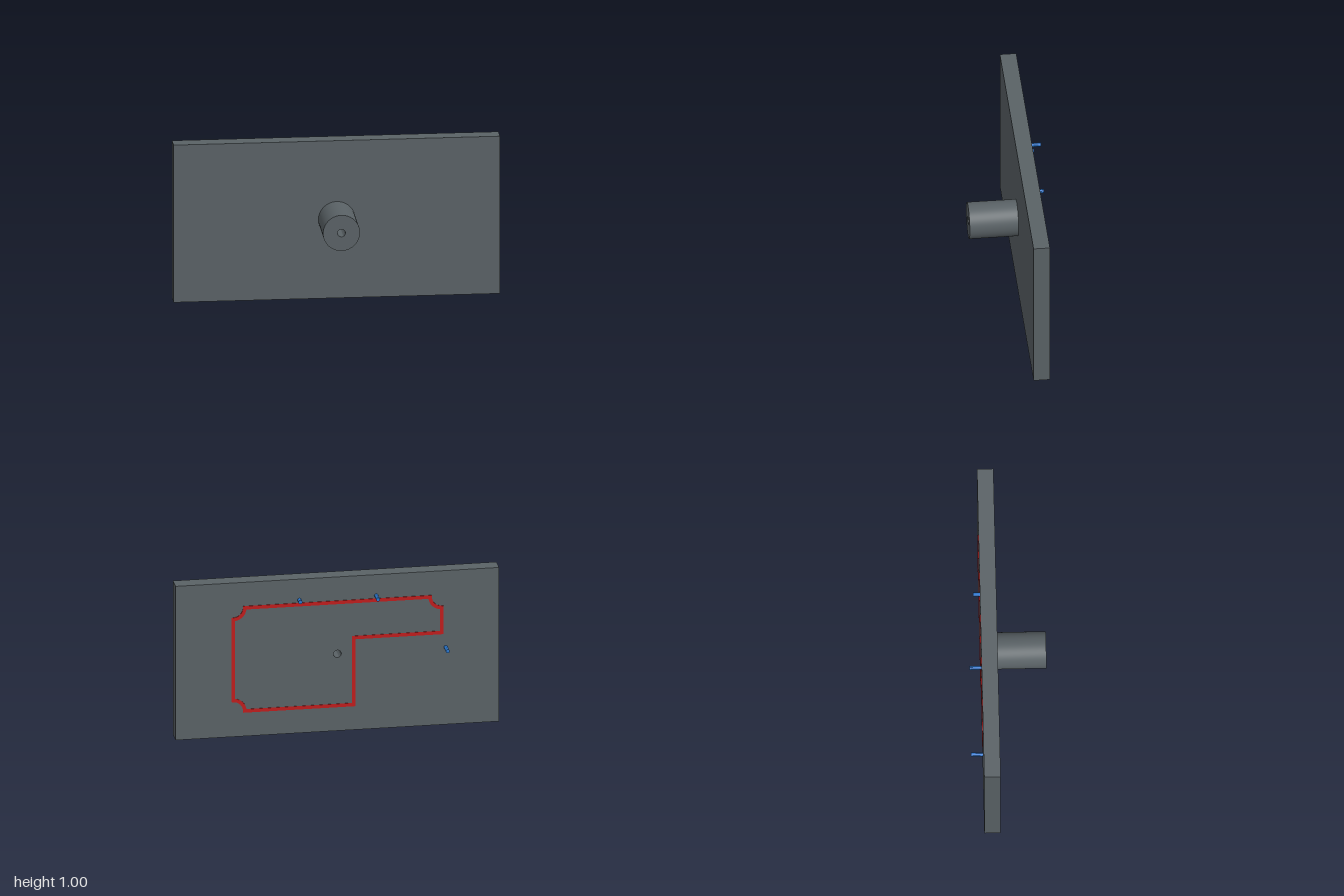
import * as THREE from 'three';
import { toCreasedNormals } from 'three/addons/utils/BufferGeometryUtils.js';

const BACK = -0.162, FRONT = -0.062, BOSS_END = 0.237, HOLE = 0.024;

const grey = new THREE.MeshStandardMaterial({ color: 0x5a6266 });
const red = new THREE.MeshStandardMaterial({ color: 0xc01c1c });
const blue = new THREE.MeshStandardMaterial({ color: 0x2b78d0 });
grey.name = 'graphite grey';
red.name = 'trace red';
blue.name = 'pin blue';

// Extrude a shape between two z planes, keeping curved walls smooth
function slab(name, shape, z0, z1, material) {
  let geo = new THREE.ExtrudeGeometry(shape, { depth: z1 - z0, bevelEnabled: false, curveSegments: 32 });
  geo = toCreasedNormals(geo, 0.5);
  geo.translate(0, 0, z0);
  const mesh = new THREE.Mesh(geo, material);
  mesh.name = name;
  return mesh;
}

function circle(PathType, x, y, r) {
  return new PathType().absarc(x, y, r, 0, Math.PI * 2, false);
}

// Concave quarter-circle notch around a corner, from angle a0 to a1
function notch(cx, cy, a0, a1) {
  const pts = [];
  for (let i = 0; i <= 8; i++) {
    const a = (a0 + (a1 - a0) * i / 8) * Math.PI / 2;
    pts.push(new THREE.Vector2(cx + 0.072 * Math.cos(a), cy + 0.072 * Math.sin(a)));
  }
  return pts;
}

// Mitred offset of a closed counter-clockwise outline
function offset(points, d) {
  const n = points.length;
  return points.map((p, i) => {
    const a = p.clone().sub(points[(i + n - 1) % n]).normalize();
    const b = points[(i + 1) % n].clone().sub(p).normalize();
    const na = new THREE.Vector2(a.y, -a.x), nb = new THREE.Vector2(b.y, -b.x);
    return na.clone().add(nb).multiplyScalar(d / (1 + na.dot(nb))).add(p);
  });
}

export function createModel() {
  const group = new THREE.Group();
  group.name = 'mountingPlate';

  // Plate with through hole
  const plate = new THREE.Shape().moveTo(-1, 0).lineTo(1, 0).lineTo(1, 1).lineTo(-1, 1).closePath();
  plate.holes.push(circle(THREE.Path, 0, 0.5, HOLE));
  group.add(slab('plate', plate, BACK, FRONT, grey));

  // Hollow boss on the front
  const boss = circle(THREE.Shape, 0, 0.5, 0.113);
  boss.holes.push(circle(THREE.Path, 0, 0.5, HOLE));
  group.add(slab('boss', boss, FRONT, BOSS_END, grey));

  // Notched corners shared by the raised panel and the red trace
  const X = 0.645, T = 0.835, B = 0.165;
  const bottomLeft = notch(X, B, 2, 1);
  const topLeft = notch(X, T, 3, 2);
  const topRight = notch(-X, T, 4, 3);
  const bottomRight = notch(-X, B, 1, 0);

  // Very thin panel on the back
  const panel = new THREE.Shape([...bottomLeft, ...topLeft, ...topRight, ...bottomRight]);
  panel.holes.push(circle(THREE.Path, 0, 0.5, HOLE));
  group.add(slab('backPanel', panel, BACK - 0.001, BACK, grey));

  // Red trace: panel outline with one lower quarter stepped out
  const step = [[-X, 0.6], [-0.1, 0.6], [-0.1, B]].map(([x, y]) => new THREE.Vector2(x, y));
  const path = [...bottomLeft, ...topLeft, ...topRight, ...step];
  const trace = new THREE.Shape(offset(path, 0.011));
  trace.holes.push(new THREE.Path(offset(path, -0.011)));
  group.add(slab('redTrace', trace, BACK - 0.004, BACK, red));

  // Locating pins: x, y, end z
  const pins = [[0.235, 0.864, -0.204], [-0.24, 0.864, -0.235], [-0.67, 0.502, -0.237]];
  for (const [x, y, z] of pins) group.add(slab('pin', circle(THREE.Shape, x, y, 0.012), z, BACK, blue));

  return group;
}
